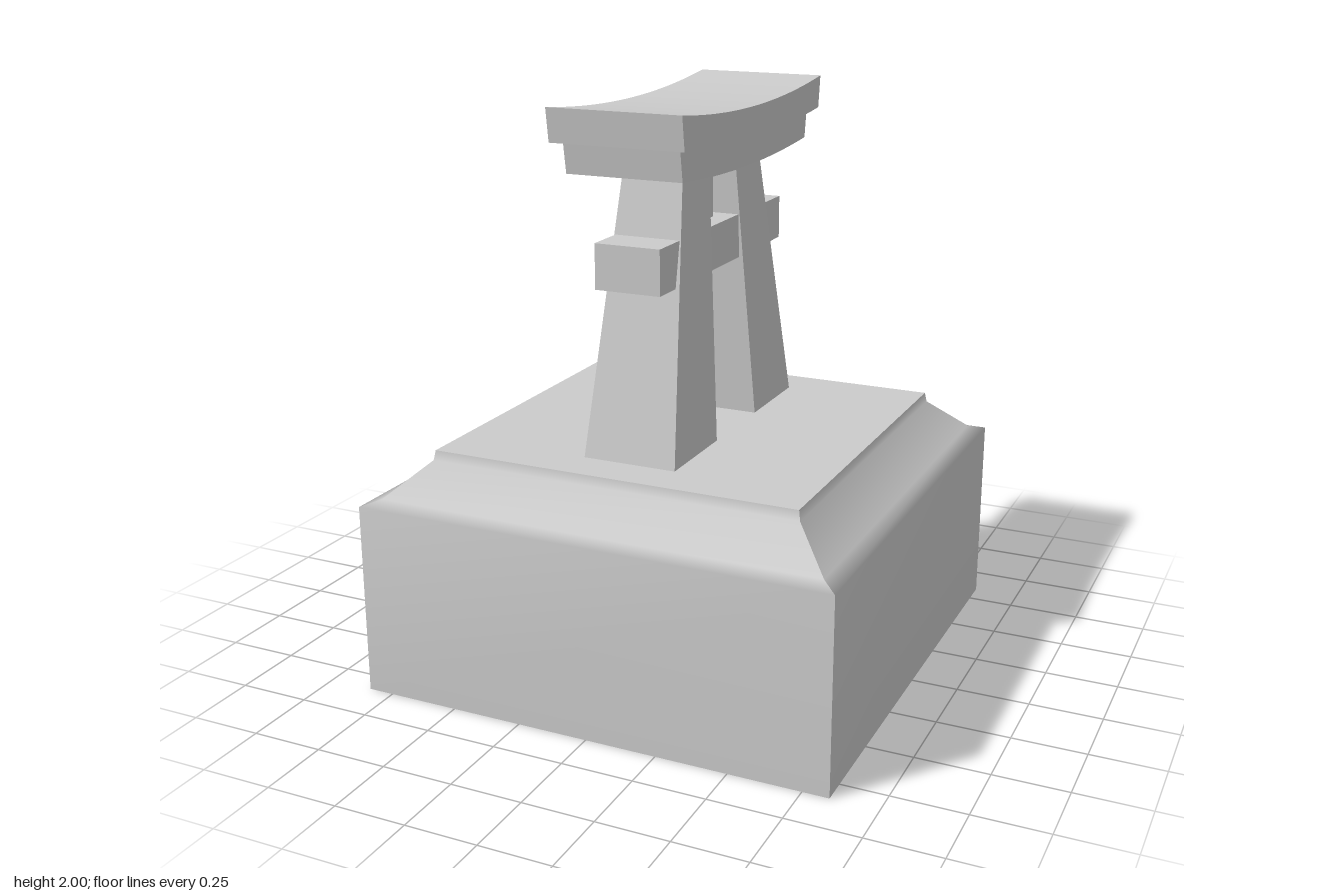
import * as THREE from 'three';
import { toCreasedNormals } from 'three/addons/utils/BufferGeometryUtils.js';

const material = new THREE.MeshStandardMaterial({ color: 0xcccccc });

function addMesh(parent, name, geometry) {
  const mesh = new THREE.Mesh(geometry, material);
  mesh.name = name;
  parent.add(mesh);
  return mesh;
}

function box(w, y0, y1, d) {
  return new THREE.BoxGeometry(w, y1 - y0, d).translate(0, (y0 + y1) / 2, 0);
}

// One side of a square plinth, swept from a profile of [half width, height]
function plinthSide(profile) {
  const positions = profile.flatMap(([r, y]) => [-r, y, r, r, y, r]);
  const index = [];
  for (let i = 0; i < profile.length - 1; i++) {
    const a = 2 * i;
    index.push(a, a + 1, a + 3, a, a + 3, a + 2);
  }
  const geometry = new THREE.BufferGeometry();
  geometry.setAttribute('position', new THREE.Float32BufferAttribute(positions, 3));
  geometry.setIndex(index);
  geometry.computeVertexNormals();
  return geometry;
}

// Leg tapering upwards and leaning inwards; z0 is the inner face, z1 the outer
function legGeometry(bottom, top) {
  const geometry = new THREE.BoxGeometry(1, 1, 1);
  const p = geometry.attributes.position;
  for (let i = 0; i < p.count; i++) {
    const s = p.getY(i) > 0 ? top : bottom;
    p.setXYZ(i, Math.sign(p.getX(i)) * s.halfWidth, s.y, p.getZ(i) > 0 ? s.z1 : s.z0);
  }
  const flat = geometry.toNonIndexed();
  flat.computeVertexNormals();
  return flat;
}

// Lintel sagging in the middle, with slanted ends, running along z
function lintelGeometry(halfWidth, top, bottom) {
  const shape = new THREE.Shape();
  shape.moveTo(-bottom.z, bottom.end);
  shape.quadraticCurveTo(0, 2 * bottom.mid - bottom.end, bottom.z, bottom.end);
  shape.lineTo(top.z, top.end);
  shape.quadraticCurveTo(0, 2 * top.mid - top.end, -top.z, top.end);
  shape.closePath();
  const geometry = new THREE.ExtrudeGeometry(shape, {
    depth: 2 * halfWidth, bevelEnabled: false, curveSegments: 20,
  });
  geometry.translate(0, 0, -halfWidth).rotateY(-Math.PI / 2);
  return toCreasedNormals(geometry, 0.4);
}

export function createModel() {
  const model = new THREE.Group();
  model.name = 'gateOnPlinth';

  // Plinth: four mitred sides, closed above and below
  const plinth = new THREE.Group();
  plinth.name = 'plinth';
  model.add(plinth);
  const profile = [[0.84, 0], [0.84, 0.672], [0.785, 0.69], [0.658, 0.806], [0.652, 0.84]];
  const side = plinthSide(profile);
  for (let i = 0; i < 4; i++) {
    addMesh(plinth, 'plinthSide', side).rotation.y = i * Math.PI / 2;
  }
  addMesh(plinth, 'plinthTop',
    new THREE.PlaneGeometry(1.304, 1.304).rotateX(-Math.PI / 2).translate(0, 0.84, 0));
  addMesh(plinth, 'plinthBottom',
    new THREE.PlaneGeometry(1.68, 1.68).rotateX(Math.PI / 2));

  // Pair of leaning legs
  const leg = legGeometry(
    { y: 0.84, halfWidth: 0.165, z0: 0.168, z1: 0.505 },
    { y: 1.77, halfWidth: 0.107, z0: 0.108, z1: 0.315 },
  );
  addMesh(model, 'frontLeg', leg);
  addMesh(model, 'backLeg', leg).rotation.y = Math.PI;

  // Tie beam through the legs and the short strut above it
  addMesh(model, 'tieBeam', box(0.23, 1.415, 1.567, 1.005));
  addMesh(model, 'strut', box(0.1, 1.56, 1.78, 0.1));

  // Two stacked curved lintels
  addMesh(model, 'lowerLintel', lintelGeometry(0.202,
    { z: 0.536, end: 1.888, mid: 1.863 }, { z: 0.519, end: 1.785, mid: 1.762 }));
  addMesh(model, 'upperLintel', lintelGeometry(0.233,
    { z: 0.587, end: 2, mid: 1.963 }, { z: 0.571, end: 1.888, mid: 1.861 }));

  return model;
}
